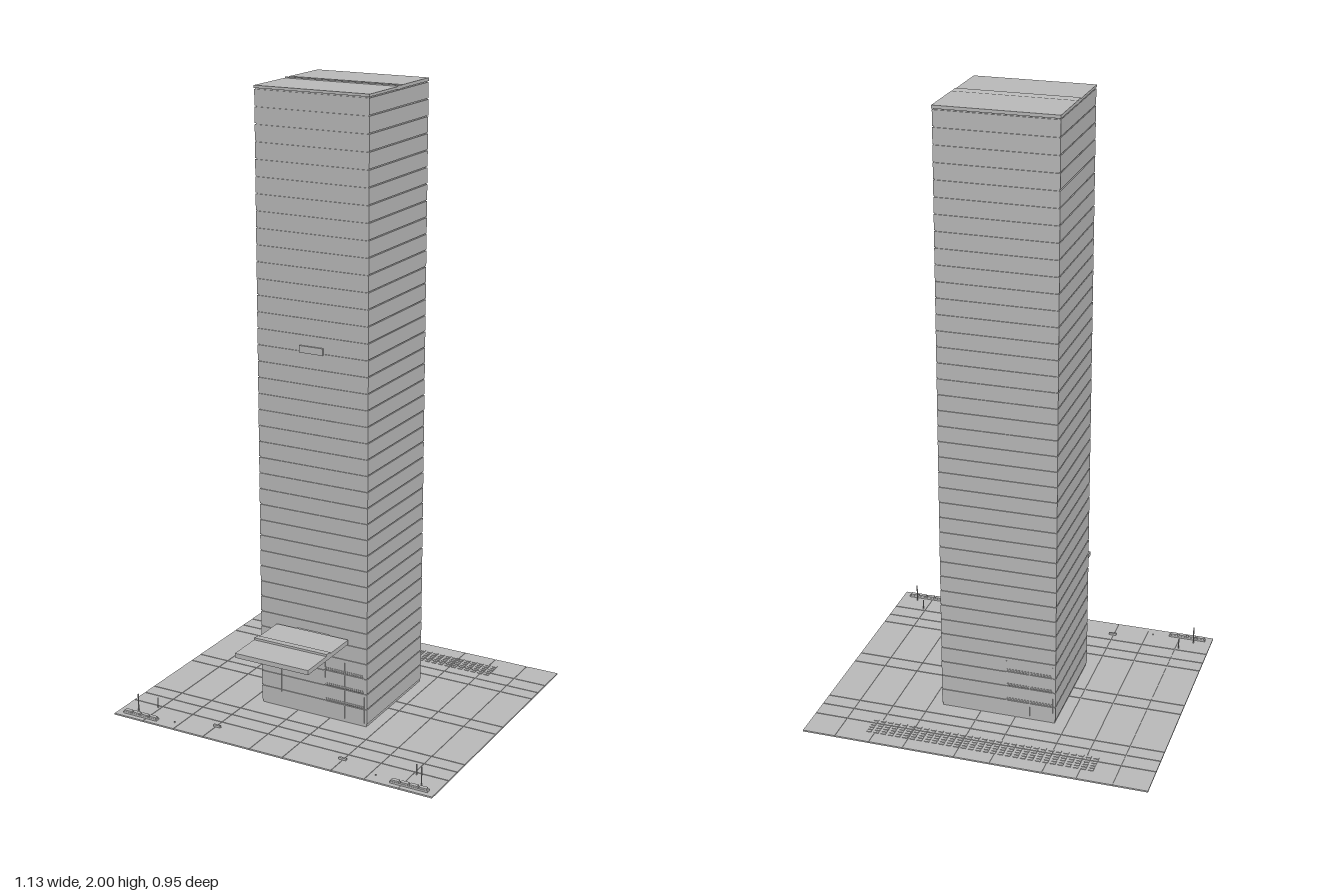
import * as THREE from 'three';

export function createModel() {
  const model = new THREE.Group();
  const grey = new THREE.MeshStandardMaterial({ color: 0xb8b8b8 });
  grey.name = 'concrete grey';

  // Box given by its limits on each axis
  function box(name, x0, x1, y0, y1, z0, z1, parent = model) {
    const mesh = new THREE.Mesh(new THREE.BoxGeometry(x1 - x0, y1 - y0, z1 - z0), grey);
    mesh.position.set((x0 + x1) / 2, (y0 + y1) / 2, (z0 + z1) / 2);
    mesh.name = name;
    parent.add(mesh);
    return mesh;
  }
  function group(name) {
    const g = new THREE.Group();
    g.name = name;
    model.add(g);
    return g;
  }
  // Shallow wedge running along x, deeper at its front edge
  function wedge(name, x0, x1, y, h, z0, z1) {
    const s = new THREE.Shape([
      new THREE.Vector2(-z0, y), new THREE.Vector2(-z1, y),
      new THREE.Vector2(-z1, y + h), new THREE.Vector2(-z0, y + h * 0.5)]);
    const geo = new THREE.ExtrudeGeometry(s, { depth: x1 - x0, bevelEnabled: false });
    geo.rotateY(Math.PI / 2);
    const mesh = new THREE.Mesh(geo, grey);
    mesh.position.x = x0;
    mesh.name = name;
    model.add(mesh);
  }

  // Plaza: thin slab topped with paving separated by narrow joints
  const W = 0.565, D = 0.477;
  box('plazaSlab', -W, W, 0, 0.003, -D, D);
  const paving = group('paving');
  const xs = [-W, -0.455, -0.34, -0.23, -0.06, 0.057, 0.227, 0.34, 0.455, W];
  const zs = [-D, -0.37, -0.31, -0.258, -0.03, 0.025, 0.252, 0.305, 0.365, D];
  const joint = 0.0015;
  for (let i = 0; i < xs.length - 1; i++) {
    for (let j = 0; j < zs.length - 1; j++) {
      box('pavingTile', xs[i] + (i ? joint : 0), xs[i + 1] - (i < xs.length - 2 ? joint : 0), 0.003, 0.005,
        zs[j] + (j ? joint : 0), zs[j + 1] - (j < zs.length - 2 ? joint : 0), paving);
    }
  }

  // Rows of small slats behind the tower
  const racks = group('rearSlats');
  for (let i = 0; i < 31; i++) {
    const x = -0.371 + i * 0.0244;
    for (let j = 0; j < 6; j++) {
      const z = -0.42 + j * 0.0132;
      box('rearSlat', x - 0.008, x + 0.008, 0.005, 0.007, z - 0.0045, z + 0.0045, racks);
    }
  }

  // Tower: recessed core with one wall band for each floor
  const X0 = -0.193, X1 = 0.19, Z0 = -0.203, Z1 = 0.178;
  const inset = 0.003;
  box('towerCore', X0 + inset, X1 - inset, 0.004, 1.99, Z0 + inset, Z1 - inset);
  const floors = group('floors');
  const pitch = 0.0519, gap = 0.0035;
  let bottom = 0.015;
  for (let y = 0.066; y < 1.99; y += pitch) {
    box('floorBand', X0, X1, bottom, y - gap / 2, Z0, Z1, floors);
    bottom = y + gap / 2;
  }

  // Roof in two flat halves with a tilted strip between
  box('roofFront', X0 - 0.001, X1 + 0.001, 1.988, 1.996, 0, Z1 + 0.001);
  box('roofBack', X0 - 0.001, X1 + 0.001, 1.988, 1.998, Z0 - 0.001, -0.028);
  box('roofGutter', X0, X1, 1.986, 1.992, -0.028, 0);
  wedge('roofStrip', X0, X1, 1.992, 0.008, -0.028, 0);

  // Lower grilles and panel frames, at opposite corners
  const grilles = group('lowerGrilles');
  function grille(x0, x1, z) {
    for (let k = 0; k < 3; k++) {
      const y = 0.062 + k * 0.053;
      for (let s = 0; s < 3; s++) {
        box('grilleBar', x0, x1, y + s * 0.005, y + s * 0.005 + 0.0025, z - 0.0015, z + 0.0015, grilles);
      }
    }
    for (const x of [x0, (x0 + x1) / 2, x1]) {
      box('grillePost', x - 0.0015, x + 0.0015, 0.018, 0.21, z - 0.0015, z + 0.0015, grilles);
    }
  }
  grille(0.04, 0.18, Z1);
  grille(-0.183, -0.03, Z0);
  box('frontPanelPost', -0.122, -0.119, 0.05, 0.21, Z1 - 0.001, Z1 + 0.0015, grilles);

  // Plate high on the front wall
  box('frontPlate', -0.043, 0.037, 1.203, 1.225, Z1, Z1 + 0.006);

  // Entrance canopy with raised strip and a wall bracket
  box('canopy', -0.13, 0.128, 0.281, 0.296, 0.187, 0.44);
  wedge('canopyStrip', -0.13, 0.128, 0.296, 0.007, 0.3, 0.327);
  box('canopyBracket', -0.06, 0.057, 0.284, 0.294, Z1 - 0.001, 0.188);

  // Street furniture mirrored about the centre
  for (const side of [-1, 1]) {
    const g = group(side < 0 ? 'rightFurniture' : 'leftFurniture');
    const mirrored = (name, xa, xb, y0, y1, z0, z1) =>
      box(name, Math.min(side * xa, side * xb), Math.max(side * xa, side * xb), y0, y1, z0, z1, g);
    mirrored('benchBase', 0.416, 0.542, 0.005, 0.011, 0.446, 0.461);
    for (let i = 0; i < 4; i++) {
      mirrored('benchSeat', 0.42 + i * 0.031, 0.445 + i * 0.031, 0.011, 0.016, 0.447, 0.46);
    }
    mirrored('lowPlinth', 0.213, 0.238, 0.005, 0.012, 0.397, 0.404);
    const posts = [[0.506, 0.427, 0.065], [0.465, 0.377, 0.04], [0.36, 0.44, 0.009]];
    for (const [x, z, h] of posts) {
      const post = new THREE.Mesh(new THREE.CylinderGeometry(0.002, 0.002, h - 0.004, 8), grey);
      post.position.set(side * x, (h + 0.004) / 2, z);
      post.name = 'post';
      g.add(post);
    }
  }
  return model;
}
